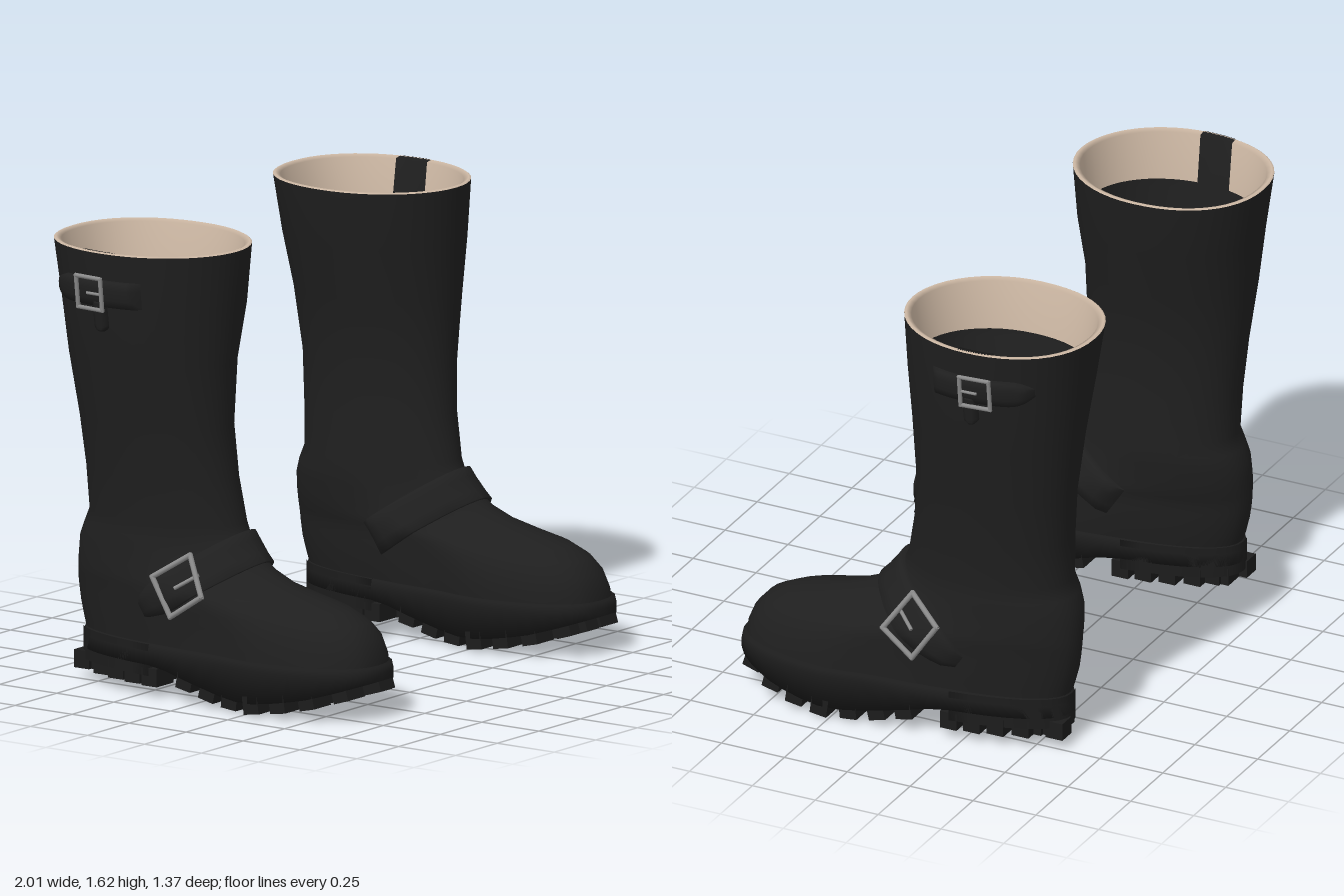
import * as THREE from 'three';
import { mergeGeometries } from 'three/addons/utils/BufferGeometryUtils.js';

const V = (x, y, z) => new THREE.Vector3(x, y, z);
const SEG = 48;
const leather = new THREE.MeshStandardMaterial({ name: 'black leather', color: 0x1f1f1f, side: THREE.DoubleSide });
const rubber = new THREE.MeshStandardMaterial({ name: 'black rubber', color: 0x1c1c1c });
const lining = new THREE.MeshStandardMaterial({ name: 'beige lining', color: 0xcdb8a4, side: THREE.DoubleSide });
const metal = new THREE.MeshStandardMaterial({ name: 'grey metal', color: 0x8a8a8a });

// Horizontal sections: y, front z, back z, centre x, half widths front/middle/back, front roundness
const LEVELS = [
  [0.17, 0.672, -0.585, 0.67, 0.24, 0.2, 0.185, 2.6],
  [0.22, 0.668, -0.6, 0.667, 0.24, 0.2, 0.19, 2.5],
  [0.28, 0.645, -0.615, 0.665, 0.235, 0.2, 0.195, 2.4],
  [0.33, 0.6, -0.622, 0.665, 0.225, 0.2, 0.195, 2.2],
  [0.365, 0.53, -0.625, 0.665, 0.215, 0.2, 0.195, 2],
  [0.39, 0.43, -0.626, 0.663, 0.2, 0.2, 0.195, 1.85],
  [0.42, 0.3, -0.626, 0.66, 0.19, 0.195, 0.195, 1.8],
  [0.46, 0.2, -0.625, 0.655, 0.185, 0.19, 0.19, 1.8],
  [0.52, 0.115, -0.62, 0.65, 0.18, 0.19, 0.19, 1.85],
  [0.57, 0.075, -0.602, 0.645, 0.18, 0.19, 0.19, 1.9],
  [0.62, 0.05, -0.58, 0.645, 0.18, 0.185, 0.185, 2],
  [0.78, 0.02, -0.585, 0.655, 0.185, 0.19, 0.19, 2],
  [0.97, 0.005, -0.6, 0.67, 0.2, 0.202, 0.2, 2],
  [1.2, 0.012, -0.63, 0.675, 0.24, 0.24, 0.24, 2],
  [1.4, 0.03, -0.655, 0.662, 0.285, 0.285, 0.285, 2],
  [1.61, 0.042, -0.685, 0.658, 0.313, 0.313, 0.313, 2],
];
// Tread height along z
const TREAD = [[-0.15, 0.075], [-0.1, 0.06], [0, 0.04], [0.1, 0.015], [0.25, 0], [0.4, 0.02], [0.5, 0.04], [0.6, 0.07], [0.69, 0.1]];

function sample(table, v) {
  let i = 0;
  while (i < table.length - 2 && v > table[i + 1][0]) i++;
  const t = THREE.MathUtils.clamp((v - table[i][0]) / (table[i + 1][0] - table[i][0]), 0, 1);
  return table[i].map((n, k) => THREE.MathUtils.lerp(n, table[i + 1][k], t));
}
const tread = (z) => sample(TREAD, z)[1];

// Half width of the boot at a height and depth, swollen by an amount
function half(y, z, grow = 0) {
  const [, zf, zb, , wf, wm, wb, n] = sample(LEVELS, y);
  const c = (z - (zf + zb) / 2) / ((zf - zb) / 2 + grow);
  if (Math.abs(c) >= 1) return 0;
  const e = c > 0 ? n : 2.2;
  const w = THREE.MathUtils.lerp(wm, c > 0 ? wf : wb, THREE.MathUtils.smoothstep(Math.abs(c), 0, 0.45));
  return (w + grow) * Math.pow(1 - Math.pow(Math.abs(c), e), 1 / e);
}
const centre = (y) => sample(LEVELS, y)[3];

function ring(y, grow = 0) {
  const [, zf, zb, cx] = sample(LEVELS, y);
  return Array.from({ length: SEG }, (_, i) => {
    const a = (i / SEG) * Math.PI * 2;
    const z = (zf + zb) / 2 + ((zf - zb) / 2 + grow) * Math.cos(a);
    return V(cx + (i % (SEG / 2) ? Math.sign(Math.sin(a)) * half(y, z, grow) : 0), y, z);
  });
}
const level = (r, f) => r.map((p) => V(p.x, typeof f === 'function' ? f(p.z) : f, p.z));
const collapse = (r, cx) => r.map((p) => V(cx, p.y, p.z));

// Skin over equal rows of points
function loft(rows, closed = true) {
  const n = rows[0].length, index = [];
  for (let i = 0; i < rows.length - 1; i++) {
    for (let j = 0; j < (closed ? n : n - 1); j++) {
      const k = (j + 1) % n, a = i * n + j, b = i * n + k;
      index.push(a, b, a + n, b, b + n, a + n);
    }
  }
  const g = new THREE.BufferGeometry().setFromPoints(rows.flat());
  g.setIndex(index);
  g.computeVertexNormals();
  return g;
}

// Raised band lying on one side of the boot; without s0 it starts at the front ridge
function strap(side, { z, y, dz, dy, hw, s0, s1, tip = 0 }) {
  const N = 20, rows = [];
  const profile = [[-1, 0], [-0.97, 0.022], [-0.4, 0.028], [0.4, 0.028], [0.97, 0.022], [1, 0]];
  for (let i = 0; i <= N; i++) {
    const t = i / N, k = i === N || (s0 !== undefined && i === 0) ? 0 : 1;
    const taper = 1 - tip * Math.pow(Math.max(0, (t - 0.8) / 0.2), 2);
    rows.push(profile.map(([v, h]) => {
      const o = v * hw * taper, oz = z - dy * o, oy = y + dz * o;
      let start = s0;
      if (start === undefined) {
        let lo = -0.15, hi = 0.2;
        for (let q = 0; q < 24; q++) {
          const m = (lo + hi) / 2;
          if (oz + dz * m > sample(LEVELS, oy + dy * m)[1] + h) lo = m; else hi = m;
        }
        start = hi;
      }
      const s = start + (s1 - start) * (s0 === undefined ? t * t : t);
      const pz = oz + dz * s, py = oy + dy * s;
      return V(centre(py) + side * half(py, pz, h * k), py, pz);
    }));
  }
  return loft(rows, false);
}

function rod(p, q, r) {
  const d = q.clone().sub(p);
  const g = new THREE.CylinderGeometry(r, r, d.length() + r, 8);
  g.applyQuaternion(new THREE.Quaternion().setFromUnitVectors(V(0, 1, 0), d.normalize()));
  return g.translate(...p.clone().add(q).multiplyScalar(0.5).toArray());
}

// Square frame with a prong, tilted along the strap
function buckle(z, y, dz, dy, a, b, r) {
  const at = (s, v) => {
    const pz = z + dz * s - dy * v, py = y + dy * s + dz * v;
    return V(centre(py) + half(py, pz, 0.034), py, pz);
  };
  const c = [at(-a, -b), at(a, -b), at(a, b), at(-a, b)];
  const rods = c.map((p, i) => rod(p, c[(i + 1) % 4], r));
  rods.push(rod(at(-a, 0), at(a * 0.1, 0), r * 0.7));
  return mergeGeometries(rods);
}

// Row of tread blocks across the sole
function lugRow(z, bottom, tilt) {
  const w = Math.min(half(0.17, z - 0.03, 0.015), half(0.17, z + 0.03, 0.015));
  const blocks = [[-w + 0.05, 0.1, 0], [w - 0.05, 0.1, 0], [-0.05, 0.07, 0.03], [0.05, 0.07, -0.03]];
  return blocks.map(([x, width, shift]) => new THREE.BoxGeometry(width, 0.065, 0.066)
    .rotateX(tilt).translate(0.67 + x, bottom(z + shift) + 0.035, z + shift));
}

function bootParts() {
  const parts = [];
  const add = (name, geometry, material) => parts.push({ name, geometry, material });

  // Upper, lining and inside
  add('upper', loft(LEVELS.map((l) => ring(l[0]))), leather);
  add('shaftLining', loft([ring(1.61), level(ring(1.61, -0.008), 1.615), level(ring(1.61, -0.026), 1.606), ring(1.43, -0.03)]), lining);
  const inside = [1.43, ...LEVELS.map((l) => l[0]).filter((y) => y > 0.2 && y < 1.43).reverse()].map((y) => ring(y, -0.03));
  inside.push(collapse(inside[inside.length - 1], 0.667));
  add('innerWall', loft(inside), leather);

  // Gusset behind the top strap, inside and out
  const gusset = [[1.615, -0.005], [1.61, -0.032], [1.43, -0.036]].map(([y, g]) =>
    [-0.42, -0.38, -0.34, -0.29].map((z) => V(centre(y) + half(y, z, g), y, z)));
  add('innerGusset', loft(gusset, false), leather);
  add('gussetPoint', strap(1, { z: -0.34, y: 1.44, dz: 0, dy: -1, hw: 0.025, s0: 0, s1: 0.12, tip: 0.95 }), leather);

  // Straps and buckles
  const ankle = { z: 0.125, y: 0.555, dz: -0.827, dy: -0.563, hw: 0.067 };
  add('ankleStrapOuter', strap(1, { ...ankle, s1: 0.44, tip: 0.6 }), leather);
  add('ankleStrapInner', strap(-1, { ...ankle, s1: 0.38 }), leather);
  add('ankleBuckle', buckle(-0.06, 0.42, -0.827, -0.563, 0.075, 0.08, 0.01), metal);
  add('topStrap', strap(1, { z: -0.18, y: 1.465, dz: -1, dy: 0, hw: 0.048, s0: 0, s1: 0.38, tip: 0.65 }), leather);
  add('topBuckle', buckle(-0.37, 1.465, -1, 0, 0.056, 0.058, 0.008), metal);

  // Sole with welt
  const edge = ring(0.17, 0.015);
  const base = (z) => tread(z) + 0.04;
  const bottom = level(edge, base);
  add('sole', loft([collapse(bottom, 0.67), bottom, level(edge, 0.165), level(ring(0.17, 0.01), 0.188), level(ring(0.17, -0.02), 0.2)]), rubber);

  // Heel block
  const heel = edge.filter((p) => p.z < -0.15);
  const foot = level(heel, 0.075);
  add('heel', loft([collapse(foot, 0.67), foot, foot, level(heel, 0.19)]), rubber);

  // Tread blocks
  const lugs = [];
  for (let i = 0; i < 7; i++) {
    const z = 0.6 - i * 0.105;
    lugs.push(...lugRow(z, tread, -Math.atan((tread(z + 0.03) - tread(z - 0.03)) / 0.06)));
  }
  for (let i = 0; i < 5; i++) lugs.push(...lugRow(-0.2 - i * 0.085, () => 0.035, 0));
  add('treadBlocks', mergeGeometries(lugs), rubber);
  return parts;
}

// Flip to the other side of x and turn the faces back outward
function mirrored(geometry) {
  const g = geometry.clone().scale(-1, 1, 1);
  const index = g.index.array;
  for (let i = 0; i < index.length; i += 3) [index[i], index[i + 1]] = [index[i + 1], index[i]];
  return g;
}

export function createModel() {
  const model = new THREE.Group();
  model.name = 'pairOfBoots';
  const parts = bootParts();
  for (const side of ['left', 'right']) {
    const boot = new THREE.Group();
    boot.name = side + 'Boot';
    for (const { name, geometry, material } of parts) {
      const mesh = new THREE.Mesh(side === 'left' ? geometry : mirrored(geometry), material);
      mesh.name = name;
      boot.add(mesh);
    }
    model.add(boot);
  }
  return model;
}
